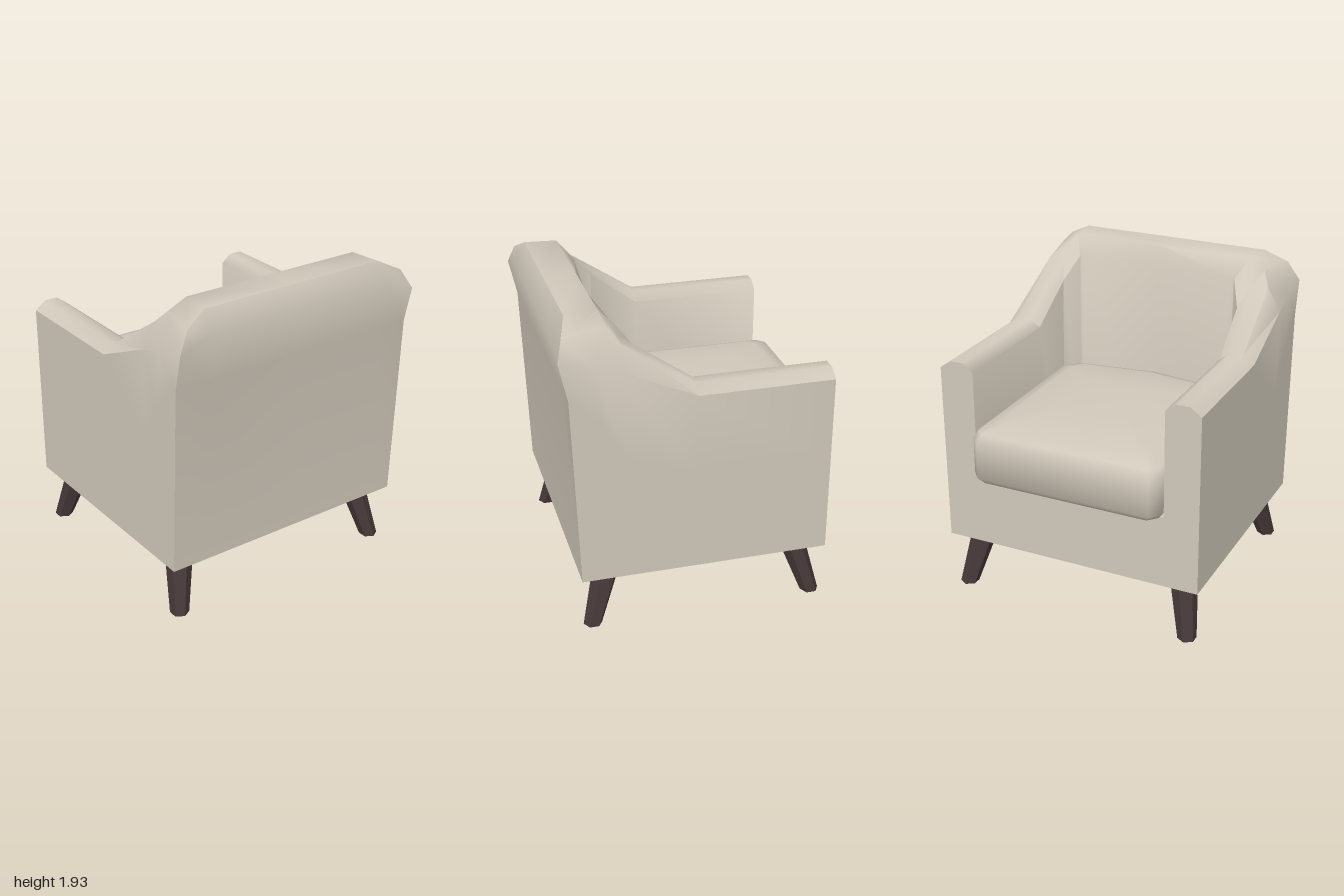
import * as THREE from 'three';
import { toCreasedNormals } from 'three/addons/utils/BufferGeometryUtils.js';

const fabric = new THREE.MeshStandardMaterial({ color: 0xd0c8ba });
fabric.name = 'beige fabric';
const wood = new THREE.MeshStandardMaterial({ color: 0x463838 });
wood.name = 'dark wood';

// Skin a row of closed rings (arrays of [x, y, z]) and cap both ends
function loft(rings, crease) {
  const n = rings[0].length, last = (rings.length - 1) * n, index = [];
  for (let i = 0; i < rings.length - 1; i++) {
    for (let j = 0; j < n; j++) {
      const a = i * n + j, b = i * n + (j + 1) % n;
      index.push(a, a + n, b, b, a + n, b + n);
    }
  }
  for (let j = 1; j < n - 1; j++) {
    index.push(0, j, j + 1);
    index.push(last, last + j + 1, last + j);
  }
  const g = new THREE.BufferGeometry();
  g.setAttribute('position', new THREE.Float32BufferAttribute(rings.flat(2), 3));
  g.setIndex(index);
  return toCreasedNormals(g, crease);
}

function add(parent, name, geometry, material) {
  const mesh = new THREE.Mesh(geometry, material);
  mesh.name = name;
  parent.add(mesh);
  return mesh;
}

// Arm cross-section at depth z: outside, rounded top, inside
const armSection = z => [
  [0.82, 0.35, z], [0.82, 0.95, z], [0.82, 1.46, z], [0.75, 1.51, z],
  [0.67, 1.51, z], [0.605, 1.46, z], [0.605, 0.35, z],
];

// Arms and back as one shell swept around the seat
function shellGeometry() {
  const half = [
    armSection(0.795),
    armSection(-0.01),
    // rising shoulder
    [[0.82, 0.35, -0.42], [0.82, 1.1, -0.42], [0.82, 1.65, -0.44], [0.74, 1.79, -0.43],
      [0.64, 1.79, -0.42], [0.59, 1.68, -0.31], [0.605, 0.35, -0.295]],
    [[0.82, 0.35, -0.55], [0.82, 1.35, -0.56], [0.82, 1.7, -0.6], [0.69, 1.87, -0.5],
      [0.59, 1.93, -0.52], [0.525, 1.82, -0.42], [0.52, 0.35, -0.39]],
    // back corner
    [[0.82, 0.35, -0.7], [0.82, 1.52, -0.745], [0.82, 1.74, -0.795], [0.75, 1.86, -0.76],
      [0.59, 1.93, -0.52], [0.52, 1.82, -0.425], [0.515, 0.35, -0.395]],
    [[0.61, 0.35, -0.7], [0.61, 1.52, -0.745], [0.61, 1.81, -0.79], [0.61, 1.93, -0.715],
      [0.585, 1.93, -0.52], [0.5, 1.82, -0.43], [0.5, 0.35, -0.4]],
  ];
  // middle of the back
  const middle = [[0, 0.35, -0.7], [0, 1.52, -0.745], [0, 1.81, -0.79], [0, 1.93, -0.715],
    [0, 1.93, -0.52], [0, 1.82, -0.47], [0, 0.35, -0.455]];
  const mirrored = half.map(ring => ring.map(([x, y, z]) => [-x, y, z])).reverse();
  return loft([...half, middle, ...mirrored], 0.95);
}

// Domed cushion with clipped corners, stacked from scaled outlines
function cushionGeometry() {
  const outline = [[0.603, -0.29], [0.603, 0.825], [0.55, 0.882], [-0.55, 0.882], [-0.603, 0.825],
    [-0.603, -0.29], [-0.52, -0.38], [0, -0.45], [0.52, -0.38]];
  const levels = [[0.79, 0.95], [0.83, 1], [1.06, 1], [1.11, 0.96], [1.15, 0.8], [1.175, 0.4]];
  const zMid = 0.22;
  return loft(levels.map(([y, s]) => outline.map(([x, z]) => [x * s, y, zMid + (z - zMid) * s])), 1.1);
}

// Tapered six-sided leg, leaning from its top to its foot
function legGeometry(sx, topZ, footZ) {
  const height = 0.36, topX = 0.665 * sx, footX = 0.74 * sx;
  const g = new THREE.CylinderGeometry(0.085, 0.057, height, 6).translate(0, height / 2, 0);
  const p = g.attributes.position;
  for (let i = 0; i < p.count; i++) {
    const t = p.getY(i) / height;
    p.setX(i, p.getX(i) + THREE.MathUtils.lerp(footX, topX, t));
    p.setZ(i, p.getZ(i) + THREE.MathUtils.lerp(footZ, topZ, t));
  }
  return toCreasedNormals(g, 0.3);
}

export function createModel() {
  const model = new THREE.Group();
  model.name = 'armchair';
  const chair = new THREE.Group();
  chair.name = 'chair';
  // the chair stands turned on its spot
  chair.rotation.y = THREE.MathUtils.degToRad(-105);
  model.add(chair);

  add(chair, 'armsAndBack', shellGeometry(), fabric);
  const base = add(chair, 'seatBase', new THREE.BoxGeometry(1.21, 0.45, 1.295), fabric);
  base.position.set(0, 0.575, 0.1475);
  add(chair, 'seatCushion', cushionGeometry(), fabric);

  for (const sx of [-1, 1]) {
    const side = sx > 0 ? 'Left' : 'Right';
    add(chair, 'frontLeg' + side, legGeometry(sx, 0.625, 0.738), wood);
    add(chair, 'backLeg' + side, legGeometry(sx, -0.52, -0.63), wood);
  }
  return model;
}
